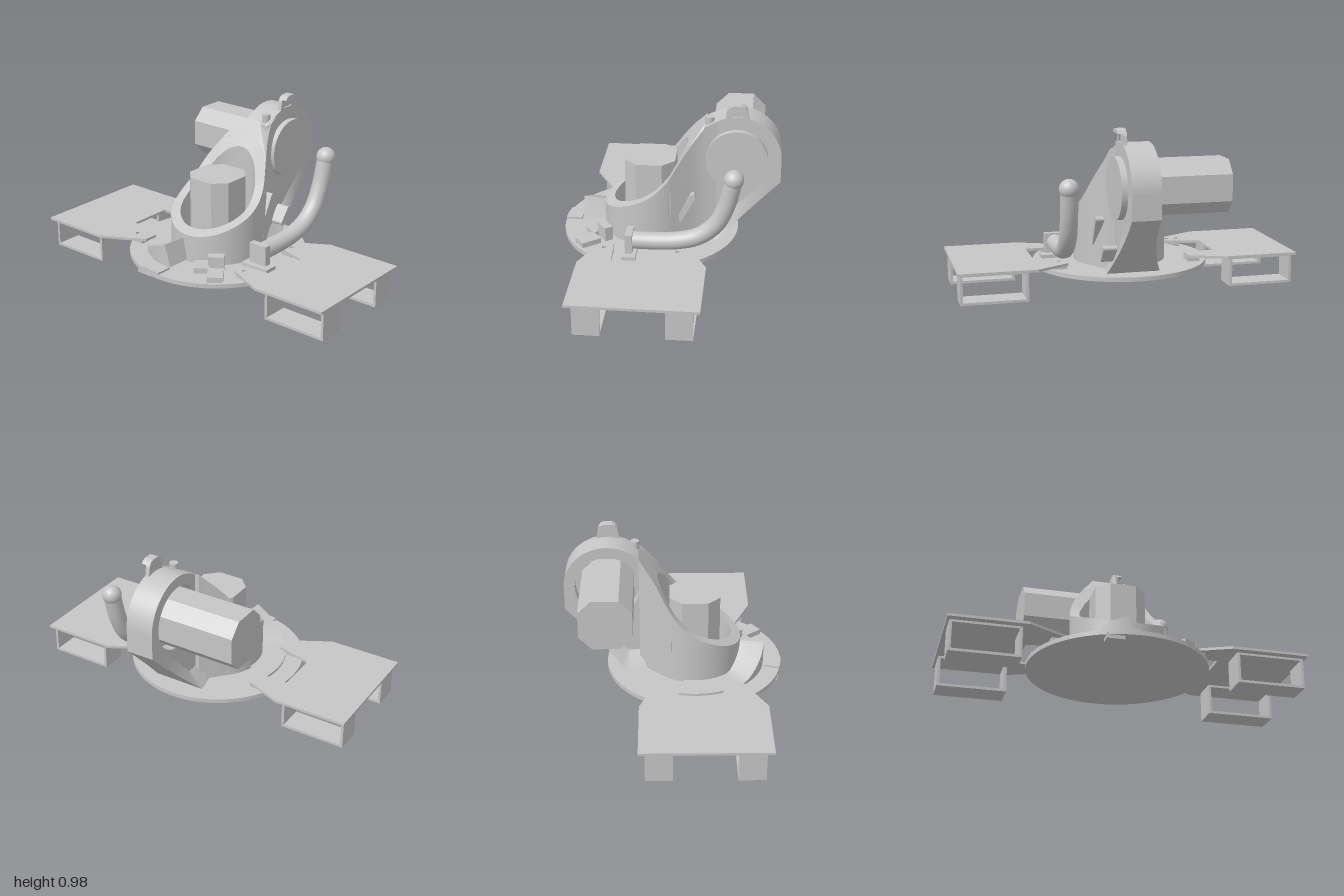
import * as THREE from 'three';
import { toCreasedNormals } from 'three/addons/utils/BufferGeometryUtils.js';

const CX = -0.12;                       // axis of the upright housing
const HEAD = { x: 0.38, y: 0.655 };     // axis of the raised head

// height of the sloping upper edge at x
const EDGE = [[-0.39, 0.31], [-0.15, 0.425], [-0.08, 0.47], [0, 0.55], [0.1, 0.715], [0.2, 0.845], [0.26, 0.87]];
function edgeHeight(x) {
  for (let i = 1; i < EDGE.length; i++) {
    const [x0, y0] = EDGE[i - 1], [x1, y1] = EDGE[i];
    if (x <= x1) return y0 + (y1 - y0) * (x - x0) / (x1 - x0);
  }
  return 0.87;
}

// skin between cross-sections, each a closed loop of [x, y, z]
function loft(sections, closed) {
  const n = sections[0].length, index = [];
  const rows = closed ? sections.length : sections.length - 1;
  for (let i = 0; i < rows; i++) {
    for (let j = 0; j < n; j++) {
      const a = i * n + j, b = i * n + (j + 1) % n;
      const k = (i + 1) % sections.length;
      const c = k * n + j, d = k * n + (j + 1) % n;
      index.push(a, b, c, c, b, d);
    }
  }
  const g = new THREE.BufferGeometry();
  g.setAttribute('position', new THREE.Float32BufferAttribute(sections.flat(2), 3));
  g.setIndex(index);
  return toCreasedNormals(g, 0.5);
}

const polygon = pts => new THREE.Shape(pts.map(p => new THREE.Vector2(...p)));
const cutout = pts => new THREE.Path(pts.map(p => new THREE.Vector2(...p)));
function addHole(shape, x, y, r) {
  const h = new THREE.Path();
  h.absarc(x, y, r, 0, Math.PI * 2, true);
  shape.holes.push(h);
  return shape;
}
const extrude = (shape, depth) =>
  new THREE.ExtrudeGeometry(shape, { depth, bevelEnabled: false, curveSegments: 32 });
const octagon = (h, c) => polygon([[-h, -h + c], [-h + c, -h], [h - c, -h], [h, -h + c],
  [h, h - c], [h - c, h], [-h + c, h], [-h, h - c]]);

export function createModel() {
  const model = new THREE.Group();
  const grey = new THREE.MeshStandardMaterial({ color: 0xc6c6c6 });
  grey.name = 'grey';

  const add = (name, geometry, x = 0, y = 0, z = 0) => {
    const m = new THREE.Mesh(geometry, grey);
    m.name = name;
    m.position.set(x, y, z);
    model.add(m);
    return m;
  };
  // box from its two extreme corners
  const box = (name, x0, x1, y0, y1, z0, z1) => add(name,
    new THREE.BoxGeometry(x1 - x0, y1 - y0, z1 - z0), (x0 + x1) / 2, (y0 + y1) / 2, (z0 + z1) / 2);

  // round base
  add('baseDisc', new THREE.CylinderGeometry(0.513, 0.513, 0.025, 72), CX, 0.138, 0);

  // upright tube housing with a slanted rim
  const rings = [];
  for (let i = 0; i < 72; i++) {
    const a = i / 72 * Math.PI * 2;
    const at = (r, y) => {
      const x = CX + r * Math.cos(a);
      return [x, y ?? edgeHeight(x), r * Math.sin(a)];
    };
    rings.push([at(0.27, 0.14), at(0.27), at(0.215), at(0.215, 0.14)]);
  }
  add('tubeHousing', loft(rings, true));

  // ramp winding round the foot of the housing
  const ramp = [];
  for (let i = 0; i <= 20; i++) {
    const t = i ? (i - 1) / 19 : 0;
    const a = Math.PI + (i ? 0.11 + t * 1.7 : 0);
    const h = i ? 0.285 - 0.12 * Math.min(1, t * 2.6) : 0.16;
    const at = (r, y) => [CX + r * Math.cos(a), y, r * Math.sin(a)];
    ramp.push([at(0.41, 0.14), at(0.41, h), at(0.26, h), at(0.26, 0.14)]);
  }
  add('footRamp', loft(ramp, false));

  // upright motor on a square mount
  add('uprightMotor', extrude(octagon(0.145, 0.07), 0.46).rotateX(-Math.PI / 2), CX, 0.14, 0);
  box('motorMount', CX - 0.145, CX + 0.145, 0.14, 0.2, -0.145, 0.145);

  // neck narrowing from the tube to the head
  const neckShape = polygon([[0.265, -0.05], [0.2, -0.05], [0.2, 0.07], [0.165, 0.1], [0.13, 0.138],
    [0.08, 0.18], [0.015, 0.234]]);
  for (let i = 0; i <= 12; i++) {
    const a = Math.PI / 3 * (1 - i / 6);
    neckShape.lineTo(CX + 0.266 * Math.cos(a), 0.266 * Math.sin(a));
  }
  [[0.015, -0.234], [0.08, -0.193], [0.13, -0.163], [0.165, -0.146], [0.2, -0.134], [0.265, -0.121]]
    .forEach(p => neckShape.lineTo(...p));
  const neck = extrude(neckShape, 0.5).rotateX(-Math.PI / 2);
  const pos = neck.attributes.position;
  for (let i = 0; i < pos.count; i++) {
    pos.setY(i, pos.getY(i) > 0.25 ? edgeHeight(pos.getX(i)) : 0.14);
  }
  add('neck', toCreasedNormals(neck, 0.5));

  // head: solid front half and a hollow rim behind it
  const headShape = () => {
    const s = polygon([[0.19, 0.14], [0.265, 0.14], [0.63, 0.515], [0.63, 0.655]]);
    s.absarc(HEAD.x, HEAD.y, 0.25, 0, Math.PI * 2 / 3, false);
    s.lineTo(0.22, 0.855);
    s.lineTo(0.19, 0.832);
    return s;
  };
  add('headFront', toCreasedNormals(extrude(headShape(), 0.1), 0.5), 0, 0, 0.02);
  const rim = addHole(headShape(), HEAD.x, HEAD.y, 0.187);
  add('headRim', toCreasedNormals(extrude(rim, 0.065), 0.5), 0, 0, -0.045);

  // flared underside of the head
  const flare = [];
  for (let i = 0; i <= 10; i++) {
    const t = Math.max(0, (i - 1) / 9), f = (1 - t) ** 2;
    const x = i ? 0.265 + 0.35 * t : 0.1, y = 0.139 + 0.36 * t;
    const f0 = i ? f : 0.6;
    flare.push([[x, y + 0.1, 0.119], [x, y, 0.119 + 0.055 * f0], [x, y, -0.044 - 0.1 * f0], [x, y + 0.1, -0.044]]);
  }
  add('underFlare', loft(flare, false));

  // cover and motor on the head axis
  add('headCover', new THREE.CylinderGeometry(0.175, 0.175, 0.04, 56).rotateX(Math.PI / 2), HEAD.x, HEAD.y, 0.135);
  add('headMotor', extrude(octagon(0.148, 0.073), 0.51), HEAD.x - 0.003, HEAD.y, -0.478);
  add('headMotorCollar', new THREE.CylinderGeometry(0.148, 0.148, 0.15, 48).rotateX(Math.PI / 2), HEAD.x - 0.003, HEAD.y, -0.045);

  // hook and peg on top of the head
  const hook = polygon([[0.31, 0.89], [0.32, 0.95], [0.333, 0.972], [0.352, 0.981], [0.4, 0.981],
    [0.42, 0.972], [0.432, 0.95], [0.443, 0.89]]);
  hook.holes.push(cutout([[0.345, 0.905], [0.345, 0.945], [0.36, 0.962], [0.39, 0.962], [0.405, 0.945], [0.405, 0.905]]));
  add('hookPlate', extrude(hook, 0.025), 0, 0, 0.095);
  box('hookBack', 0.34, 0.41, 0.895, 0.968, 0.096, 0.108);
  add('hookLip', extrude(polygon([[0.322, 0.958], [0.335, 0.974], [0.352, 0.982], [0.4, 0.982],
    [0.418, 0.974], [0.43, 0.958]]), 0.05), 0, 0, 0.097);
  add('peg', new THREE.CylinderGeometry(0.025, 0.025, 0.12, 20), 0.222, 0.83, 0.08);

  // slanted lugs on the front of the neck
  const lug = (x0, y0, x1, y1, z0, z1) => {
    const len = Math.hypot(x1 - x0, y1 - y0), r = 0.016;
    const s = new THREE.Shape();
    s.absarc(len, 0, r, -Math.PI / 2, Math.PI / 2, false);
    s.absarc(0, 0, r, Math.PI / 2, Math.PI * 1.5, false);
    add('slantedLug', extrude(s, z1 - z0), x0, y0, z0).rotation.z = Math.atan2(y1 - y0, x1 - x0);
  };
  lug(0.06, 0.29, 0.135, 0.435, 0.13, 0.205);
  lug(0.245, 0.23, 0.3, 0.3, 0.1, 0.2);

  // curved handle with a ball end
  const path = new THREE.CatmullRomCurve3([[-0.2, 0.243, 0.375], [-0.05, 0.245, 0.378], [0.08, 0.258, 0.382],
    [0.19, 0.295, 0.387], [0.28, 0.375, 0.392], [0.335, 0.49, 0.397], [0.375, 0.66, 0.403]]
    .map(p => new THREE.Vector3(...p)));
  add('handle', new THREE.TubeGeometry(path, 60, 0.05, 24));
  add('handleBall', new THREE.SphereGeometry(0.056, 28, 18), 0.375, 0.66, 0.403);
  box('handleFlange', -0.225, -0.185, 0.185, 0.3, 0.32, 0.435);
  box('handleBracket', -0.245, -0.165, 0.155, 0.175, 0.28, 0.46);

  // fork plates with hollow rectangular feet
  const plate = (name, outline, holes) => {
    const s = polygon(outline.map(([x, z]) => [x, -z]));
    holes.forEach(([x, z]) => addHole(s, x, -z, 0.013));
    add(name, extrude(s, 0.015).rotateX(-Math.PI / 2), 0, 0.175, 0);
  };
  plate('rearPlate', [[-0.52, -1], [0.2, -1], [0.2, -0.57], [0.115, -0.36], [0.015, -0.36], [0.015, -0.545],
    [-0.245, -0.545], [-0.3, -0.325], [-0.385, -0.325], [-0.52, -0.57]], [[-0.35, -0.425], [-0.35, -0.36], [0.07, -0.4]]);
  plate('frontPlate', [[-0.48, 1], [0.24, 1], [0.24, 0.55], [0.13, 0.36], [0.015, 0.36], [-0.03, 0.535],
    [-0.29, 0.535], [-0.3, 0.345], [-0.385, 0.345], [-0.48, 0.56]], [[-0.35, 0.385], [0.07, 0.4]]);
  const foot = (x, side) => {
    const s = polygon([[0.6, 0], [0.985, 0], [0.985, 0.175], [0.6, 0.175]]);
    s.holes.push(cutout([[0.615, 0.015], [0.615, 0.162], [0.97, 0.162], [0.97, 0.015]]));
    add('hollowFoot', extrude(s, 0.15).rotateY(-side * Math.PI / 2), side > 0 ? x + 0.15 : x, 0, 0);
  };
  [-0.44, 0.055].forEach(x => foot(x, 1));
  [-0.48, 0.015].forEach(x => foot(x, -1));

  // pads joining plates to the base
  for (const [x0, x1] of [[-0.385, -0.3], [0.02, 0.11]]) {
    box('platePad', x0, x1, 0.14, 0.176, 0.36, 0.43);
    box('platePad', x0, x1, 0.14, 0.176, -0.43, -0.36);
  }

  // small clamps on the left of the base
  for (const [x, y, z, w, h] of [[-0.42, 0.162, 0.14, 0.11, 0.04], [-0.46, 0.162, 0.27, 0.12, 0.04], [-0.37, 0.19, 0.2, 0.05, 0.09]]) {
    add('baseClamp', new THREE.BoxGeometry(w, h, 0.09), x, y, z).rotation.y = 0.65;
  }

  // raised edge segment and the keeper beneath it
  const latch = new THREE.Shape();
  latch.absarc(0, 0, 0.513, Math.PI * 0.92, Math.PI, false);
  latch.absarc(0, 0, 0.42, Math.PI, Math.PI * 0.92, true);
  add('edgeLatch', extrude(latch, 0.027).rotateX(-Math.PI / 2), CX, 0.135, 0);
  box('latchKeeper', -0.605, -0.54, 0.105, 0.136, -0.18, -0.08);

  return model;
}
